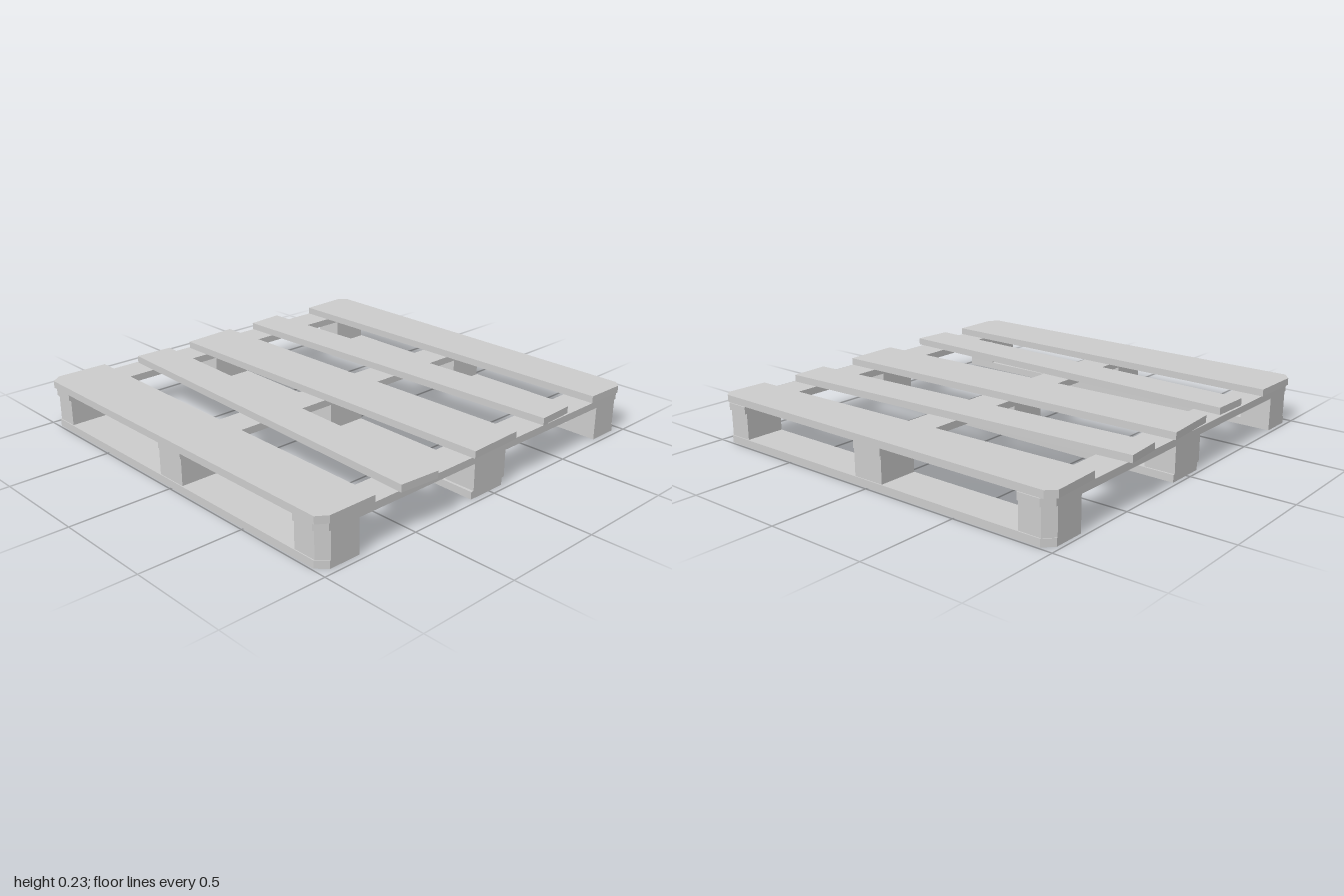
import * as THREE from 'three';

export function createModel() {
  const pallet = new THREE.Group();
  pallet.name = 'pallet';
  const wood = new THREE.MeshStandardMaterial({ color: 0xcccccc });
  wood.name = 'paleWood';

  // Board cut from a plan outline of [x, z] corners, between two heights
  function slab(name, corners, y0, y1) {
    const shape = new THREE.Shape(corners.map(([x, z]) => new THREE.Vector2(x, -z)));
    const geo = new THREE.ExtrudeGeometry(shape, { depth: y1 - y0, bevelEnabled: false });
    geo.rotateX(-Math.PI / 2);
    geo.translate(0, y0, 0);
    const mesh = new THREE.Mesh(geo, wood);
    mesh.name = name;
    pallet.add(mesh);
  }
  const rect = (x0, x1, z0, z1) => [[x0, z0], [x1, z0], [x1, z1], [x0, z1]];

  const Y = [0, 0.036, 0.165, 0.2, 0.235]; // layer heights
  const c = 0.045; // corner cut

  // Bottom runners, the outer two with cut outer corners
  for (const s of [-1, 1]) {
    slab(s < 0 ? 'rightRunner' : 'leftRunner', [
      [s * 0.79, -0.98], [s * (0.99 - c), -0.98], [s * 0.99, -0.98 + c],
      [s * 0.99, 0.97 - c], [s * (0.99 - c), 0.97], [s * 0.79, 0.97],
    ], Y[0], Y[1]);
  }
  slab('middleRunner', [[-0.09, -0.98], [0.11, -0.98], [0.085, 0.97], [-0.12, 0.97]], Y[0], Y[1]);

  // Three rows of blocks, each row carrying a cross board
  const rows = [['back', -0.98, -0.825], ['middle', -0.085, 0.077], ['front', 0.81, 0.97]];
  for (const [row, z0, z1] of rows) {
    const end = Math.sign(Math.round(z0 + z1));
    const outer = end < 0 ? z0 : z1;
    const inner = end < 0 ? z1 : z0;
    for (const s of [-1, 1]) {
      const corners = end === 0 ? rect(s * 0.79, s * 0.985, z0, z1) : [
        [s * 0.79, inner], [s * 0.985, inner], [s * 0.985, outer - end * c],
        [s * (0.985 - c), outer], [s * 0.79, outer],
      ];
      slab(row + (s < 0 ? 'RightBlock' : 'LeftBlock'), corners, Y[1], Y[2]);
    }
    slab(row + 'CentreBlock', rect(-0.105, 0.1, z0, z1), Y[1], Y[2]);
    slab(row + 'CrossBoard', end === 0 ? rect(-0.99, 0.99, z0, z1) : [
      [-0.995, inner], [-0.995, outer - end * c], [-0.995 + c, outer],
      [0.995 - c, outer], [0.995, outer - end * c], [0.995, inner],
    ], Y[2], Y[3]);
  }

  // Uneven deck planks
  const planks = [
    [[-1, -0.95], [-0.95, -0.99], [-0.69, -0.985], [-0.71, 0.975], [-0.95, 0.975], [-1, 0.94]],
    [[-0.5, -0.97], [-0.305, -0.965], [-0.375, 1], [-0.575, 0.985]],
    [[-0.17, -0.97], [0.12, -0.99], [0.165, 0.975], [-0.125, 0.985]],
    [[0.28, -0.985], [0.47, -1], [0.565, 0.96], [0.37, 0.97]],
    [[0.705, -0.98], [0.95, -0.99], [0.99, -0.95], [0.99, 0.94], [0.955, 0.975], [0.75, 0.97]],
  ];
  planks.forEach((corners, i) => slab('deckPlank' + (i + 1), corners, Y[3], Y[4]));

  return pallet;
}
